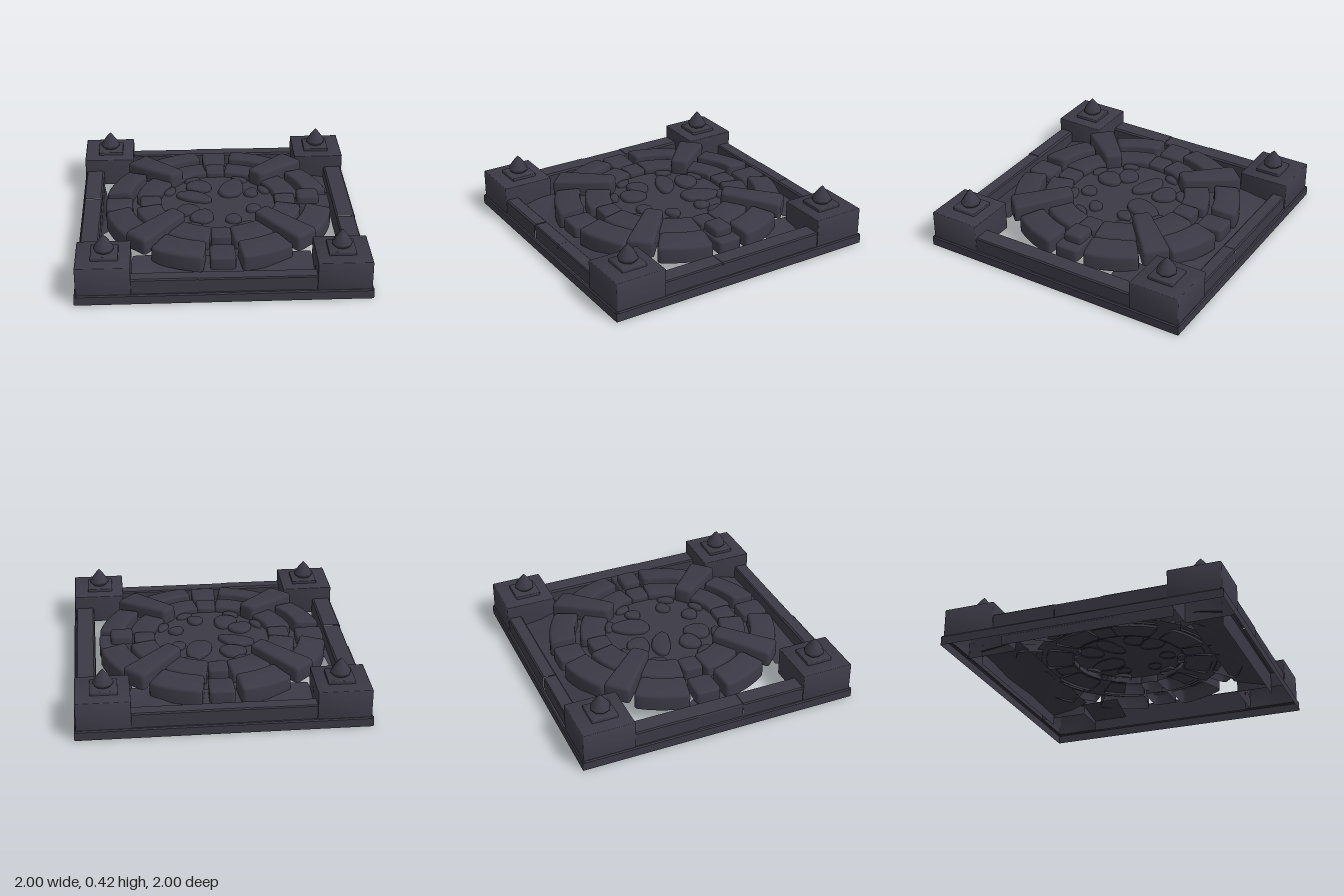
import * as THREE from 'three';
import { toCreasedNormals } from 'three/addons/utils/BufferGeometryUtils.js';

export function createModel() {
  const model = new THREE.Group();
  const stoneMat = new THREE.MeshStandardMaterial({ color: 0x3b3945, side: THREE.DoubleSide });
  stoneMat.name = 'dark slate';

  let seed = 7;
  const rand = () => (seed = (seed * 16807) % 2147483647) / 2147483647;

  function add(geo, name, parent = model) {
    const mesh = new THREE.Mesh(geo, stoneMat);
    mesh.name = name;
    parent.add(mesh);
    return mesh;
  }

  // Paving sits slightly behind the middle of the frame
  const paving = new THREE.Group();
  paving.name = 'pavedCircle';
  paving.position.z = -0.01;
  model.add(paving);

  // Plan shape from [x, z] points with rounded corners
  function roundedShape(pts, r) {
    const v = pts.map(([x, z]) => new THREE.Vector2(x, -z));
    const shape = new THREE.Shape();
    v.forEach((p, i) => {
      const toward = (q) => p.clone().lerp(q, Math.min(0.4, r / p.distanceTo(q)));
      const a = toward(v[(i + v.length - 1) % v.length]), b = toward(v[(i + 1) % v.length]);
      if (i) shape.lineTo(a.x, a.y); else shape.moveTo(a.x, a.y);
      shape.quadraticCurveTo(p.x, p.y, b.x, b.y);
    });
    shape.closePath();
    return shape;
  }

  // Pillowed stone shell, open underneath; slope tilts it along its radius beyond r0
  function slab(name, pts, y0, y1, { slope = 0, r0 = 0, bevel = 0.02, corner = 0.03, parent = paving } = {}) {
    const geo = new THREE.ExtrudeGeometry(roundedShape(pts, corner), {
      depth: y1 - y0 - bevel, bevelEnabled: true, bevelThickness: bevel,
      bevelSize: bevel, bevelOffset: -bevel, bevelSegments: 3, curveSegments: 3,
    });
    geo.rotateX(-Math.PI / 2).translate(0, y0, 0);
    const p = geo.attributes.position, kept = [];
    for (let t = 0; t < p.count; t += 3) {
      const ids = [t, t + 1, t + 2];
      if (ids.every((i) => p.getY(i) < y0 + 1e-4)) continue;
      for (const i of ids) {
        const r = Math.hypot(p.getX(i), p.getZ(i));
        kept.push(p.getX(i), p.getY(i) + slope * Math.max(0, r - r0), p.getZ(i));
      }
    }
    const shell = new THREE.BufferGeometry();
    shell.setAttribute('position', new THREE.Float32BufferAttribute(kept, 3));
    return add(toCreasedNormals(shell, 0.9), name, parent);
  }

  // Plan outlines
  const deg = Math.PI / 180;
  const polar = (r, a) => [r * Math.cos(a), r * Math.sin(a)];
  const square = (x, z, h) => [[x - h, z - h], [x - h, z + h], [x + h, z + h], [x + h, z - h]];
  function arcOutline(rIn, rOut, a0, a1, n = 4) {
    const pts = [];
    for (let i = 0; i <= n; i++) pts.push(polar(rIn, a0 + (a1 - a0) * i / n));
    for (let i = n; i >= 0; i--) pts.push(polar(rOut, a0 + (a1 - a0) * i / n));
    return pts;
  }
  function radialOutline(a, r0, r1, w0, w1) {
    const c = Math.cos(a), s = Math.sin(a);
    return [[r0, -w0 / 2], [r0, w0 / 2], [r1, w1 / 2], [r1, -w1 / 2]]
      .map(([r, t]) => [r * c - t * s, r * s + t * c]);
  }
  function pebbleOutline(x, z, rx, rz, turn) {
    const pts = [];
    for (let i = 0; i < 10; i++) {
      const a = -i / 10 * Math.PI * 2, k = 1 + 0.08 * Math.sin(3 * a + turn);
      const u = rx * k * Math.cos(a), v = rz * k * Math.sin(a);
      pts.push([x + u * Math.cos(turn) - v * Math.sin(turn), z + u * Math.sin(turn) + v * Math.cos(turn)]);
    }
    return pts;
  }

  // Strip swept along x from a cross-section of [z, y] points
  function strip(name, section, x0, x1, parent) {
    const v = [];
    for (let i = 0; i < section.length - 1; i++) {
      const [z0, y0] = section[i], [z1, y1] = section[i + 1];
      v.push(x0, y0, z0, x1, y0, z0, x1, y1, z1, x0, y0, z0, x1, y1, z1, x0, y1, z1);
    }
    const geo = new THREE.BufferGeometry();
    geo.setAttribute('position', new THREE.Float32BufferAttribute(v, 3));
    geo.computeVertexNormals();
    add(geo, name, parent);
  }

  // Border: stepped wall shells between the posts, plinth skirt under the posts
  const seams = [-0.998, -0.62, -0.17, 0.165, 0.62, 0.998];
  for (let side = 0; side < 4; side++) {
    const border = new THREE.Group();
    border.name = 'borderWall' + side;
    border.rotation.y = side * Math.PI / 2;
    const inner = side % 2 ? 0.845 : 0.88;
    for (let i = 0; i < 5; i++) {
      const jig = (rand() - 0.5) * 0.006;
      const skirt = [[0.998, 0], [0.998, 0.06], [0.99, 0.068], [0.978 + jig, 0.068]];
      const wall = [[0.978 + jig, 0.165 + jig], [0.97, 0.173 + jig], [inner + 0.01 + jig, 0.173 + jig],
        [inner, 0.163], [inner, 0.005]];
      const middle = i > 0 && i < 4;
      strip(middle ? 'wallStone' : 'plinthStone', middle ? [...skirt, ...wall] : skirt, seams[i], seams[i + 1], border);
    }
    model.add(border);
  }

  // Corner posts with cap slab and pointed finial
  const finialProfile = [[0.045, 0], [0.07, 0.025], [0.07, 0.038], [0.045, 0.078], [0.018, 0.113], [0, 0.133]]
    .map(([x, y]) => new THREE.Vector2(x, y));
  for (const sx of [-1, 1]) for (const sz of [-1, 1]) {
    const post = new THREE.Group();
    post.name = 'cornerPost';
    slab('postBlock', square(sx * 0.803, sz * 0.803, 0.184), 0.06, 0.27, { bevel: 0.008, corner: 0.008, parent: post });
    slab('capSlab', square(sx * 0.793, sz * 0.793, 0.0925), 0.265, 0.295, { bevel: 0.008, corner: 0.008, parent: post });
    const finial = add(new THREE.LatheGeometry(finialProfile, 8), 'finial', post);
    finial.position.set(sx * 0.796, 0.288, sz * 0.793);
    model.add(post);
  }

  // Rings of curved stones, repeated per quarter
  for (let q = 0; q < 4; q++) {
    const a = q * Math.PI / 2;
    for (const s of [-1, 1]) {
      const span = (n, f) => s > 0 ? [a + n * deg, a + f * deg] : [a - f * deg, a - n * deg];
      slab('outerRingStone', arcOutline(0.635, 0.82, ...span(9.5, 37)), 0.14, 0.255, { slope: -0.16, r0: 0.64 });
      slab('innerRingStone', arcOutline(0.415, 0.6, ...span(8.5, 40)), 0.15, 0.248, { slope: -0.08, r0: 0.42 });
      const [cx, cz] = polar(0.385, a + s * 27 * deg);
      slab('fillerStone', pebbleOutline(cx, cz, 0.035, 0.065, a + s * 27 * deg), 0.18, 0.225, { bevel: 0.014 });
    }
    slab('innerKeystone', radialOutline(a, 0.41, 0.56, 0.135, 0.145), 0.15, 0.24, { bevel: 0.012 });
    slab('outerKeystone', radialOutline(a, q ? 0.615 : 0.57, 0.81, 0.17, 0.18), 0.13, 0.218, { bevel: 0.014 });
    slab('diagonalStone', radialOutline(a + 45 * deg, 0.4, 0.84, 0.13, 0.195), 0.2, 0.313, { slope: -0.15, r0: 0.62, bevel: 0.024 });
  }
  slab('looseStone', radialOutline(0, 0.57, 0.73, 0.14, 0.14), 0.2, 0.277);

  // Central floor with cobbles, and the broken ring bed open at the right
  const floor = add(new THREE.CircleGeometry(0.42, 20), 'centreFloor', paving);
  floor.rotation.x = -Math.PI / 2;
  floor.position.y = 0.203;
  const ringBed = add(new THREE.RingGeometry(0.4, 0.68, 24, 1, 24 * deg, 312 * deg), 'ringBed', paving);
  ringBed.rotation.x = -Math.PI / 2;
  ringBed.position.y = 0.155;
  const cobbles = [
    [-0.13, -0.24, 0.1, 0.085, 0.3], [0.11, -0.2, 0.09, 0.145, 0.35], [-0.17, -0.08, 0.14, 0.07, 0.4],
    [-0.22, 0.12, 0.09, 0.075, -0.3], [-0.12, 0.22, 0.085, 0.1, 0.5], [0.1, 0.26, 0.06, 0.06, 0.2],
    [0.25, 0.11, 0.06, 0.05, -0.5], [0.25, -0.13, 0.05, 0.06, 0.5],
  ];
  for (const [x, z, rx, rz, turn] of cobbles)
    slab('cobble', pebbleOutline(x, z, rx, rz, turn), 0.195, 0.232, { bevel: 0.016 });

  // Rubble fill sloping from the front and back walls up under the circle
  const cols = 6, rows = [[0.88, 0.64, 0.08], [0.74, 0.63, 0.11], [0.6, 0.61, 0.145]];
  for (const sz of [-1, 1]) {
    const fill = new THREE.PlaneGeometry(1, 1, cols, rows.length - 1);
    const fp = fill.attributes.position;
    rows.forEach(([z, half, y], j) => {
      for (let i = 0; i <= cols; i++)
        fp.setXYZ(j * (cols + 1) + i, (i / cols * 2 - 1) * half, y + (rand() - 0.5) * 0.03, sz * z);
    });
    const flat = fill.toNonIndexed();
    flat.computeVertexNormals();
    add(flat, 'rubbleFill');
  }

  // Broken shards bridging the side walls and the circle
  function shard(corners) {
    const geo = new THREE.BufferGeometry();
    geo.setAttribute('position', new THREE.Float32BufferAttribute(corners.flat(), 3));
    geo.computeVertexNormals();
    add(geo, 'brokenShard');
  }
  shard([[-0.85, 0.07, -0.6], [-0.85, 0.07, 0.2], [-0.79, 0.12, -0.18]]);
  shard([[-0.85, 0.07, 0.2], [-0.62, 0.14, 0.1], [-0.79, 0.12, -0.18]]);
  shard([[0.6, 0.13, -0.64], [0.6, 0.14, -0.34], [0.87, 0.08, -0.36]]);
  shard([[0.6, 0.13, -0.64], [0.87, 0.08, -0.36], [0.87, 0.08, -0.64]]);

  return model;
}
